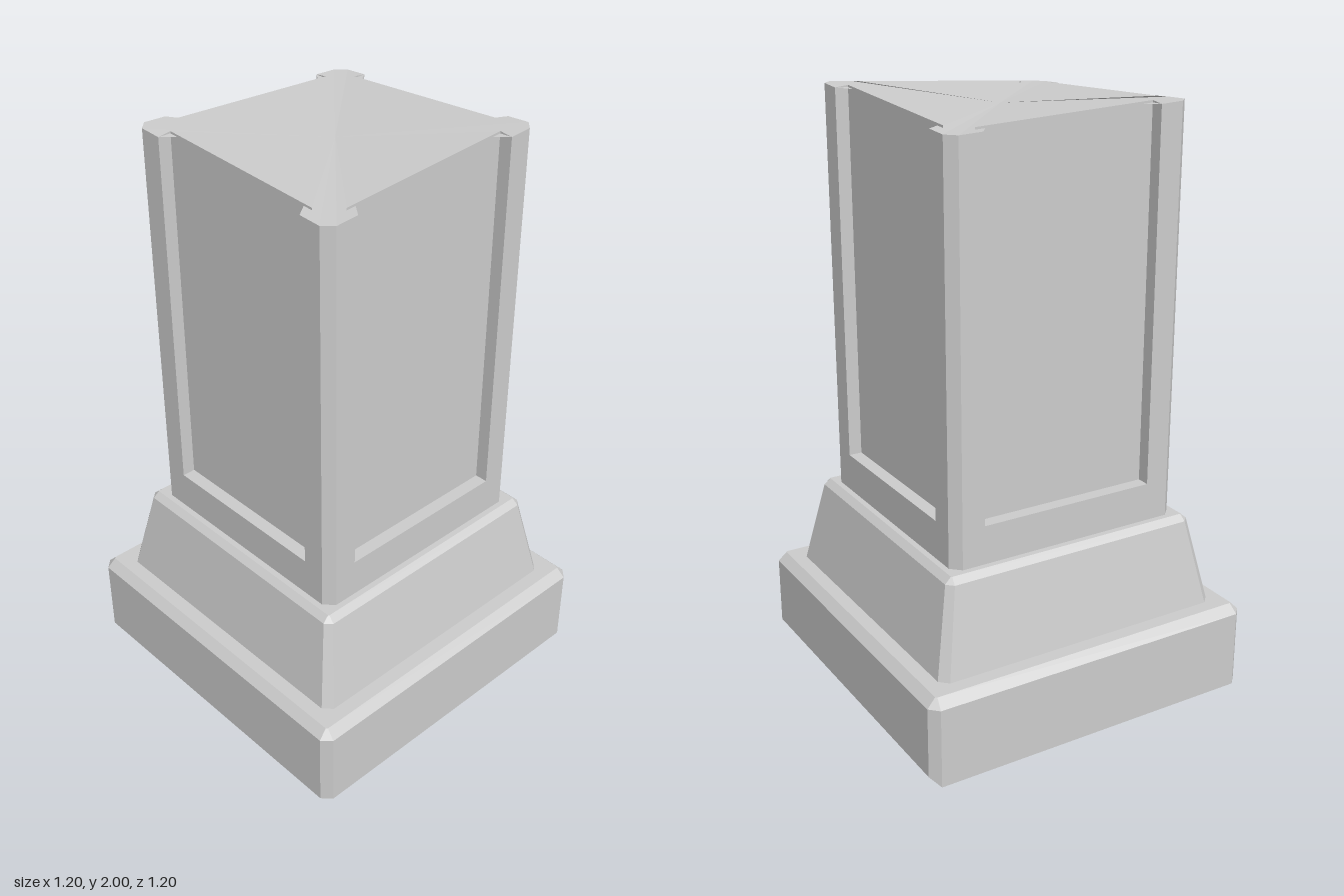
import * as THREE from 'three';

const material = new THREE.MeshStandardMaterial({ color: 0xcccccc, flatShading: true });

// Repeat one side's [x, z] points on all four sides by quarter turns
function fourSides(side) {
  const points = [];
  let turn = side;
  for (let q = 0; q < 4; q++) {
    points.push(...turn);
    turn = turn.map(([x, z]) => [-z, x]);
  }
  return points;
}

// Square outline with cut corners
const square = (half, cut) => fourSides([[half, cut - half], [half, half - cut]]);

// Level ring at height y
const ring = (y, outline) => outline.map(([x, z]) => new THREE.Vector3(x, y, z));

// Closed faceted solid through a stack of rings, caps fanned from the centre
function loft(name, rings, topY) {
  const pos = [];
  const tri = (...corners) => corners.forEach(p => pos.push(p.x, p.y, p.z));
  const first = rings[0], last = rings[rings.length - 1], n = first.length;
  const bottom = new THREE.Vector3(0, first[0].y, 0);
  const top = new THREE.Vector3(0, topY, 0);
  for (let i = 0; i < n; i++) {
    const j = (i + 1) % n;
    for (let r = 0; r < rings.length - 1; r++) {
      const lo = rings[r], hi = rings[r + 1];
      tri(lo[i], hi[i], hi[j]);
      tri(lo[i], hi[j], lo[j]);
    }
    tri(bottom, first[i], first[j]);
    tri(top, last[j], last[i]);
  }
  const geometry = new THREE.BufferGeometry();
  geometry.setAttribute('position', new THREE.Float32BufferAttribute(pos, 3));
  geometry.computeVertexNormals();
  const mesh = new THREE.Mesh(geometry, material);
  mesh.name = name;
  return mesh;
}

// Broken top: a shallow valley along one diagonal
const VALLEY = 1.952;
function brokenTop(x, z) {
  const d = x - z;
  const chipped = Math.max(Math.abs(x), Math.abs(z)) > 0.4 ? 0.008 : 0;
  return VALLEY + (d > 0 ? 0.066 : -0.046) * d - chipped;
}

export function createModel() {
  const group = new THREE.Group();
  group.name = 'brokenPillar';

  // Base slab, bevelled on top and along the lower back edge
  const foot = ring(0, square(0.6, 0.03));
  foot.forEach(p => { p.z = Math.max(p.z, -0.57); });
  group.add(loft('baseSlab', [
    foot,
    ring(0.03, square(0.6, 0.03)),
    ring(0.27, square(0.6, 0.03)),
    ring(0.3, square(0.57, 0.005)),
  ], 0.3));

  // Tapered plinth with a bevelled rim
  group.add(loft('plinth', [
    ring(0.3, square(0.522, 0.028)),
    ring(0.592, square(0.462, 0.022)),
    ring(0.612, square(0.44, 0.003)),
  ], 0.612));

  // Solid foot of the shaft, its top forming the panel sills
  group.add(loft('shaftFoot', [
    ring(0.61, square(0.42, 0.032)),
    ring(0.742, square(0.42, 0.032)),
  ], 0.742));

  // Shaft with a recessed panel on each side, ending in the broken top
  const panelled = fourSides([
    [0.42, -0.388], [0.42, -0.309], [0.375, -0.309],
    [0.375, 0.309], [0.42, 0.309], [0.42, 0.388],
  ]);
  const crown = panelled.map(([x, z]) => new THREE.Vector3(x, brokenTop(x, z), z));
  group.add(loft('panelledShaft', [ring(0.742, panelled), crown], VALLEY));

  return group;
}
